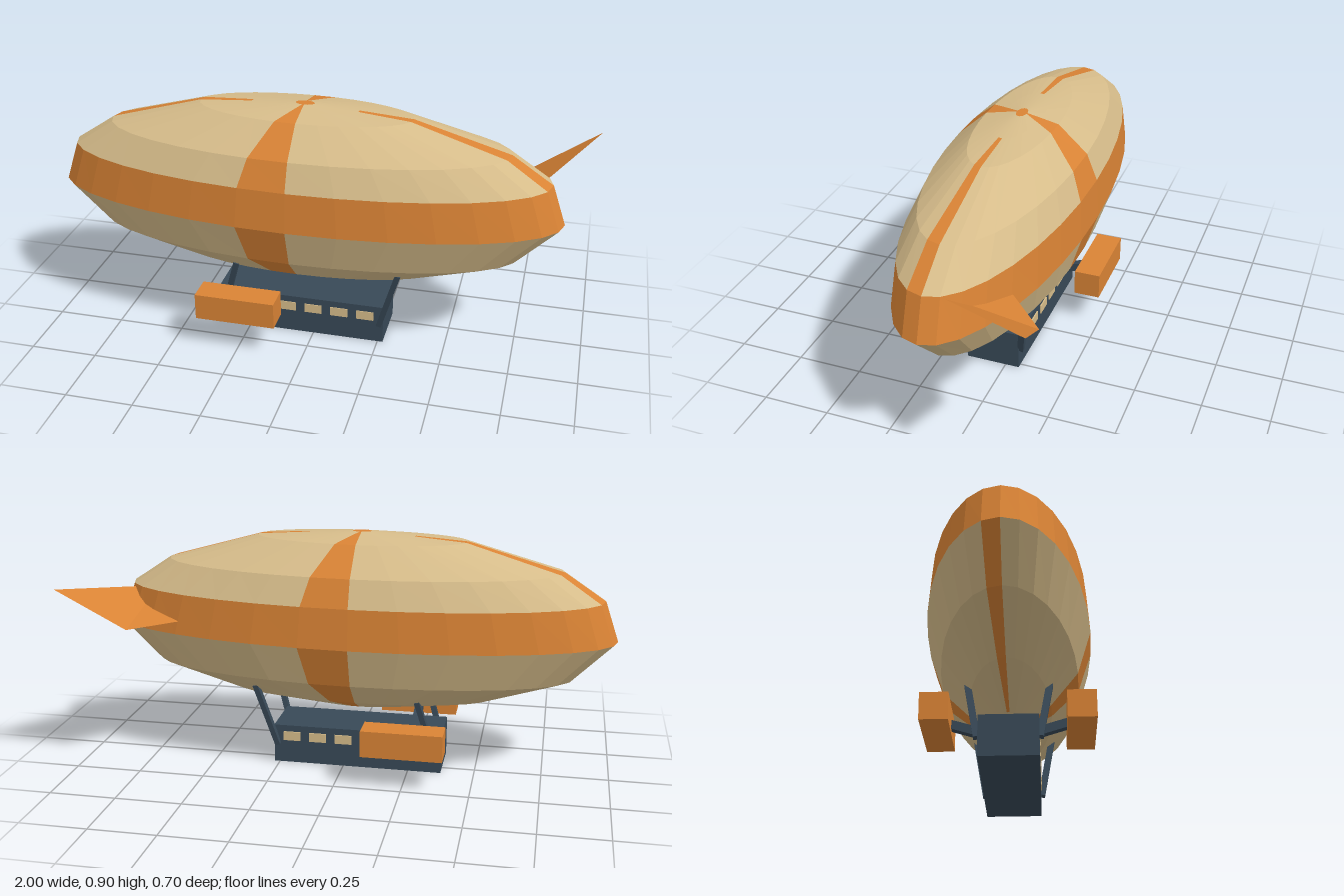
import * as THREE from 'three';

const mat = (name, color, extra = {}) => {
  const m = new THREE.MeshStandardMaterial({ color, ...extra });
  m.name = name;
  return m;
};

// Envelope rings, bottom to top: [height, half length in x, half width in z]
const RINGS = [
  [0.227, 0.16, 0.05], [0.277, 0.497, 0.15], [0.375, 0.797, 0.25], [0.525, 0.947, 0.3],
  [0.675, 0.895, 0.29], [0.775, 0.745, 0.25], [0.875, 0.395, 0.14], [0.889, 0.2, 0.075], [0.9, 0.035, 0.02],
];
const CX = -0.053, CZ = 0.05, SIDES = 32;

// Faceted oval hull: material 0 is cloth, material 1 is the band and stripes
function envelopeGeometry() {
  const faces = [[], []];
  const at = (i, k) => {
    const a = (k / SIDES) * Math.PI * 2, [y, rx, rz] = RINGS[i];
    return [CX + rx * Math.cos(a), y, CZ + rz * Math.sin(a)];
  };
  const top = RINGS.length - 1;
  for (let k = 0; k < SIDES; k++) {
    for (let i = 0; i < top; i++) {
      const band = i === 3;
      const stripe = k % 8 === 0 && !(k % 16 === 0 && i === top - 1);
      const a = at(i, k), b = at(i, k + 1), c = at(i + 1, k + 1), d = at(i + 1, k);
      faces[band || stripe ? 1 : 0].push(...a, ...d, ...c, ...a, ...c, ...b);
    }
    faces[0].push(CX, RINGS[0][0], CZ, ...at(0, k), ...at(0, k + 1));
    faces[1].push(CX, RINGS[top][0], CZ, ...at(top, k + 1), ...at(top, k));
  }
  const g = new THREE.BufferGeometry();
  g.setAttribute('position', new THREE.Float32BufferAttribute(faces.flat(), 3));
  g.addGroup(0, faces[0].length / 3, 0);
  g.addGroup(faces[0].length / 3, faces[1].length / 3, 1);
  g.computeVertexNormals();
  return g;
}

export function createModel() {
  const model = new THREE.Group();
  model.name = 'airship';
  const tan = mat('tan cloth', 0xd6bc8a);
  const orange = mat('orange', 0xd98335, { side: THREE.DoubleSide });
  const slate = mat('slate', 0x384957);

  const add = (name, geometry, material) => {
    const m = new THREE.Mesh(geometry, material);
    m.name = name;
    model.add(m);
    return m;
  };
  // Box given by its extents on each axis
  const box = (name, material, [x0, x1], [y0, y1], [z0, z1]) =>
    add(name, new THREE.BoxGeometry(x1 - x0, y1 - y0, z1 - z0), material)
      .position.set((x0 + x1) / 2, (y0 + y1) / 2, (z0 + z1) / 2);
  // Square beam between two points
  const beam = (name, from, to, w, d) => {
    const a = new THREE.Vector3(...from), b = new THREE.Vector3(...to);
    const dir = b.clone().sub(a);
    const m = add(name, new THREE.BoxGeometry(w, dir.length(), d), slate);
    m.position.copy(a).add(b).multiplyScalar(0.5);
    m.quaternion.setFromUnitVectors(new THREE.Vector3(0, 1, 0), dir.normalize());
  };

  add('envelope', envelopeGeometry(), [tan, orange]);

  // Single thin sail fin at the rear left, running into the hull
  const A = [0.5, 0.575, -0.064], B = [0.75, 0.575, -0.305], C = [0.995, 0.725, -0.35], D = [0.76, 0.645, 0.085];
  const fin = new THREE.BufferGeometry();
  fin.setAttribute('position', new THREE.Float32BufferAttribute([...A, ...D, ...B, ...B, ...D, ...C], 3));
  fin.computeVertexNormals();
  add('tailFin', fin, orange);

  // Cabin under the hull
  box('gondola', slate, [-0.375, 0.27], [0, 0.15], [-0.053, 0.155]);

  for (const s of [1, -1]) {
    const z = (d) => CZ + s * d;
    const span = (a, b) => [Math.min(z(a), z(b)), Math.max(z(a), z(b))];
    // Row of windows on each long side
    for (let i = 0; i < 6; i++) {
      const x = -0.3 + i * 0.1;
      box('window', tan, [x - 0.033, x + 0.033], [0.09, 0.125], span(0.102, 0.108));
    }
    // Side pods and their arms
    box('enginePod', orange, [-0.4, -0.1], [0.125, 0.225], span(0.2, 0.3));
    beam('podArm', [-0.255, 0.128, z(0.095)], [-0.255, 0.163, z(0.21)], 0.03, 0.032);
    // Leaning struts that hang the cabin from the hull
    beam('frontStrut', [-0.35, 0.075, z(0.107)], [-0.285, 0.295, z(0.143)], 0.02, 0.024);
    beam('rearStrut', [0.255, 0.075, z(0.107)], [0.328, 0.325, z(0.148)], 0.02, 0.024);
  }
  return model;
}
